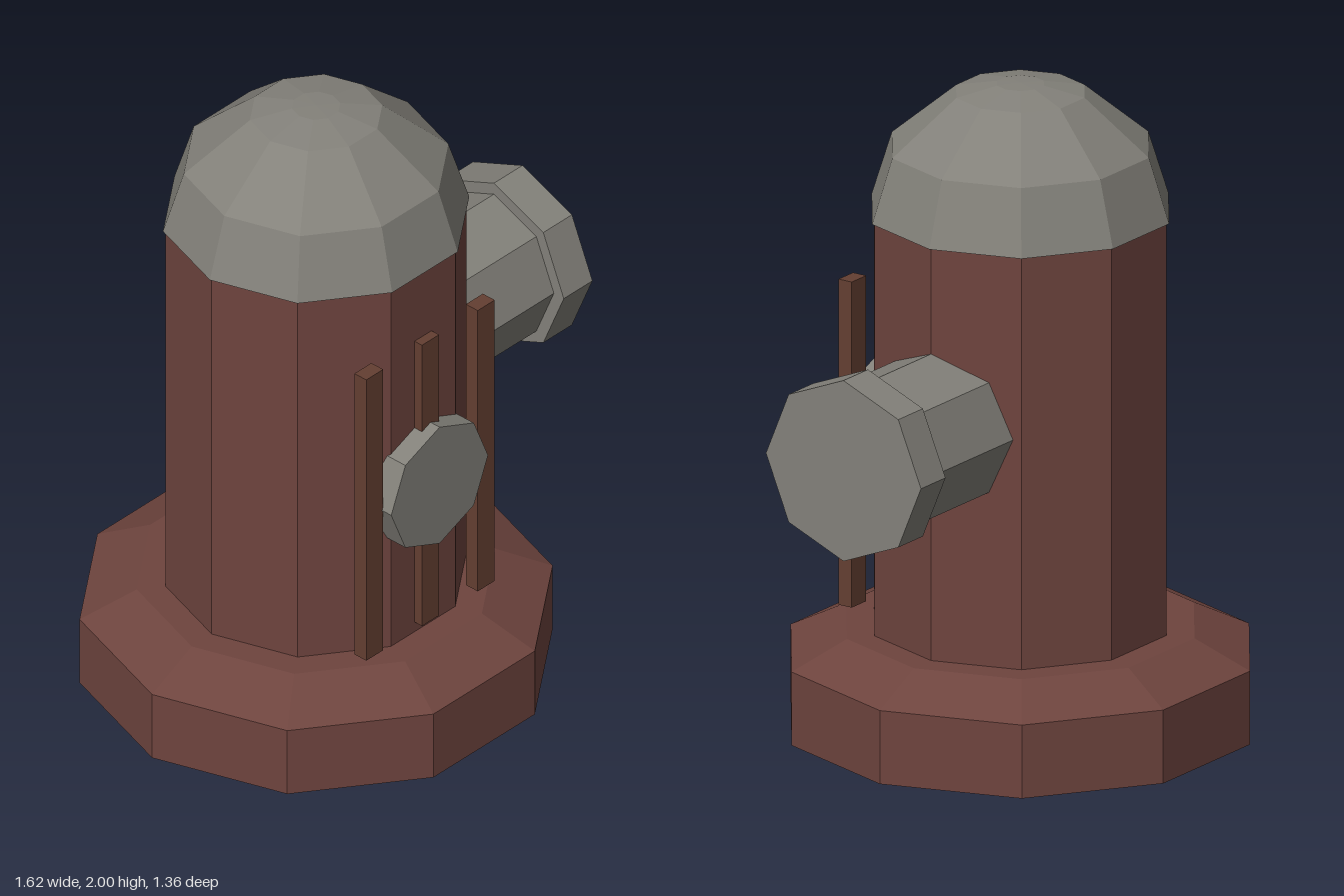
import * as THREE from 'three';

const paint = (color) => new THREE.MeshStandardMaterial({ color, flatShading: true });

export function createModel() {
  const group = new THREE.Group();
  const red = paint(0x6e443e);
  const brown = paint(0x643f32);
  const grey = paint(0x83817a);
  const axisX = -0.095; // centre line of the barrel

  const add = (name, geometry, material, x, y, z) => {
    const mesh = new THREE.Mesh(geometry, material);
    mesh.name = name;
    mesh.position.set(x, y, z);
    group.add(mesh);
    return mesh;
  };

  // Ten-sided turned part with corners on the x axis; profile runs bottom to top
  const turned = (name, profile, material) => {
    const points = profile.map(([r, y]) => new THREE.Vector2(r, y));
    add(name, new THREE.LatheGeometry(points, 10, Math.PI / 2), material, axisX, 0, 0);
  };

  turned('base', [[0, 0], [0.715, 0], [0.715, 0.23], [0.542, 0.315], [0, 0.315]], red);
  turned('barrel', [[0, 0.3], [0.455, 0.3], [0.455, 1.61], [0, 1.61]], red);
  turned('dome', [[0, 1.605], [0.463, 1.605], [0.4, 1.805], [0.2, 1.973], [0.073, 1.998], [0, 2]], grey);

  // Eight-sided side outlet and its cap, pointing to +x
  const sideways = (name, radius, x0, x1) => {
    const geometry = new THREE.CylinderGeometry(radius, radius, x1 - x0, 8);
    geometry.rotateZ(-Math.PI / 2);
    add(name, geometry, grey, (x0 + x1) / 2, 1.032, 0);
  };
  sideways('sideOutlet', 0.243, 0.2, 0.69);
  sideways('sideOutletCap', 0.283, 0.68, 0.805);

  // Front cap
  const frontCap = new THREE.CylinderGeometry(0.211, 0.211, 0.1, 8);
  frontCap.rotateX(Math.PI / 2);
  add('frontCap', frontCap, grey, axisX, 0.86, 0.45);

  // Upright slats across the front
  for (const offset of [-0.243, 0, 0.243]) {
    add('frontSlat', new THREE.BoxGeometry(0.074, 1.02, 0.048), brown, axisX + offset, 0.86, 0.439);
  }

  return group;
}
